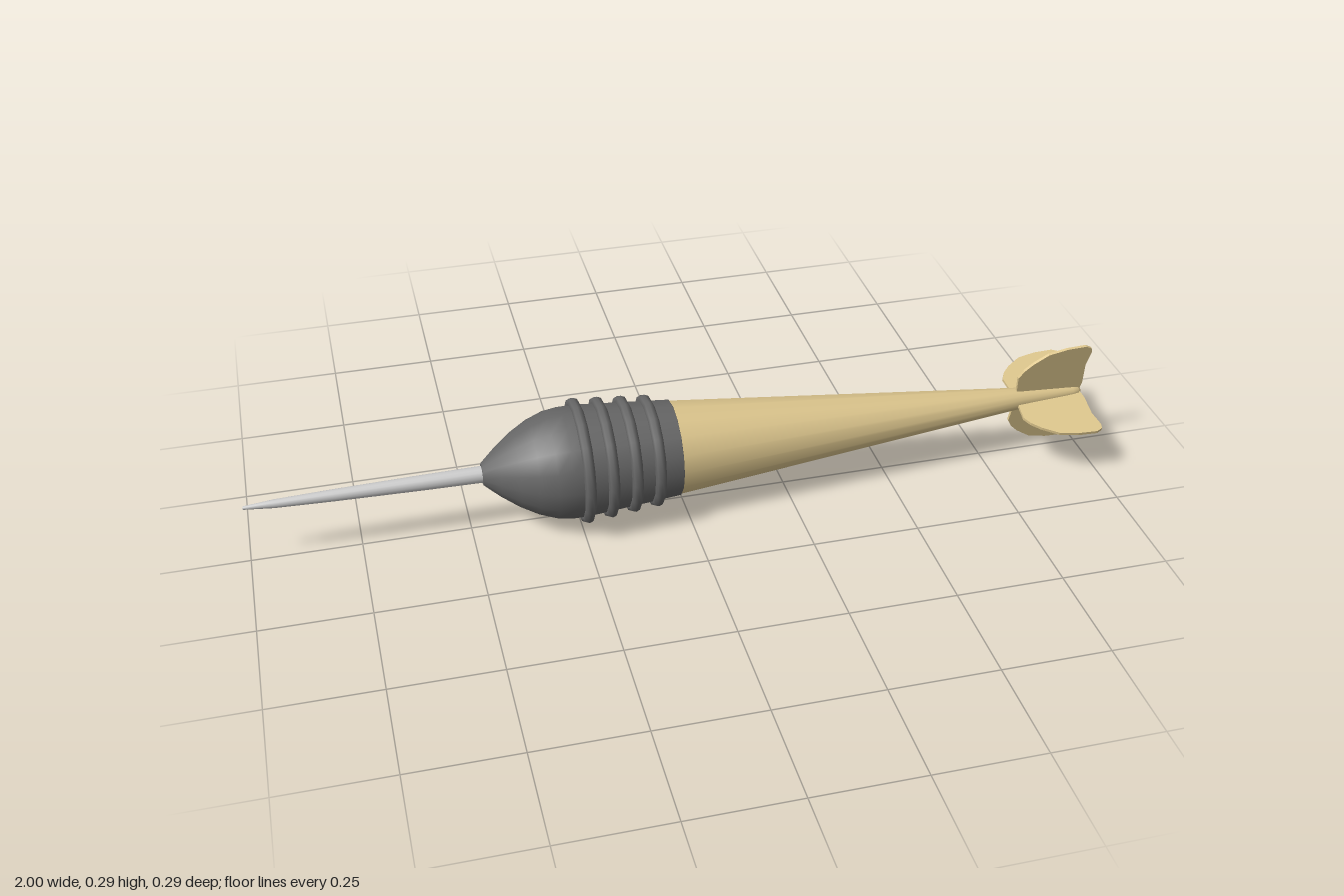
import * as THREE from 'three';

const SIDES = 16;
const AXIS_Y = 0.147;

const steel = new THREE.MeshStandardMaterial({ color: 0xcccccc });
const darkGrip = new THREE.MeshStandardMaterial({ color: 0x666666 });
const tan = new THREE.MeshStandardMaterial({ color: 0xdec78e });

// Turned part along the x axis; profile is a list of [x, radius]
function turned(name, profile, material, sides = SIDES) {
  const points = profile.map(([x, r]) => new THREE.Vector2(r, x));
  const geometry = new THREE.LatheGeometry(points, sides);
  geometry.rotateZ(-Math.PI / 2);
  const mesh = new THREE.Mesh(geometry, material);
  mesh.name = name;
  return mesh;
}

export function createModel() {
  const dart = new THREE.Group();
  dart.name = 'dart';
  const body = new THREE.Group();
  body.name = 'body';
  body.position.y = AXIS_Y;
  dart.add(body);

  // Needle point
  body.add(turned('needle', [
    [-1, 0], [-0.998, 0.004], [-0.93, 0.01], [-0.8, 0.014], [-0.6, 0.018], [-0.44, 0.02],
  ], steel));

  // Bulging barrel
  body.add(turned('barrel', [
    [-0.467, 0], [-0.467, 0.023], [-0.466, 0.026], [-0.43, 0.058], [-0.39, 0.088],
    [-0.35, 0.111], [-0.31, 0.126], [-0.275, 0.131], [-0.24, 0.131], [-0.13, 0.122],
    [-0.021, 0.113], [-0.02, 0.112], [-0.02, 0.1],
  ], darkGrip));

  // Grip rings
  for (let i = 0; i < 4; i++) {
    const geometry = new THREE.TorusGeometry(0.134 - i * 0.005, 0.013, 8, SIDES);
    geometry.rotateY(Math.PI / 2);
    const ring = new THREE.Mesh(geometry, darkGrip);
    ring.name = `gripRing${i + 1}`;
    ring.position.x = -0.241 + i * 0.055;
    body.add(ring);
  }

  // Tapered shaft with a rounded end
  body.add(turned('shaft', [
    [-0.025, 0.111], [0.84, 0.026], [0.975, 0.016], [0.99, 0.013], [0.997, 0.007], [1, 0],
  ], tan));

  // Four flight fins, turned slightly about the axis
  const outline = [
    [0.824, 0.07], [0.835, 0.09], [0.855, 0.11], [0.89, 0.134], [0.935, 0.144],
    [0.982, 0.146], [0.997, 0.138], [1, 0.125], [0.993, 0.085], [0.997, 0.03], [0.993, 0],
  ];
  const shape = new THREE.Shape();
  shape.moveTo(0.83, 0);
  outline.forEach(([x, y]) => shape.lineTo(x, y));
  const finGeometry = new THREE.ExtrudeGeometry(shape, { depth: 0.007, bevelEnabled: false });
  finGeometry.translate(0, 0, -0.0035);
  for (let i = 0; i < 4; i++) {
    const fin = new THREE.Mesh(finGeometry, tan);
    fin.name = `fin${i + 1}`;
    fin.rotation.x = THREE.MathUtils.degToRad(11) + (i * Math.PI) / 2;
    body.add(fin);
  }

  return dart;
}
